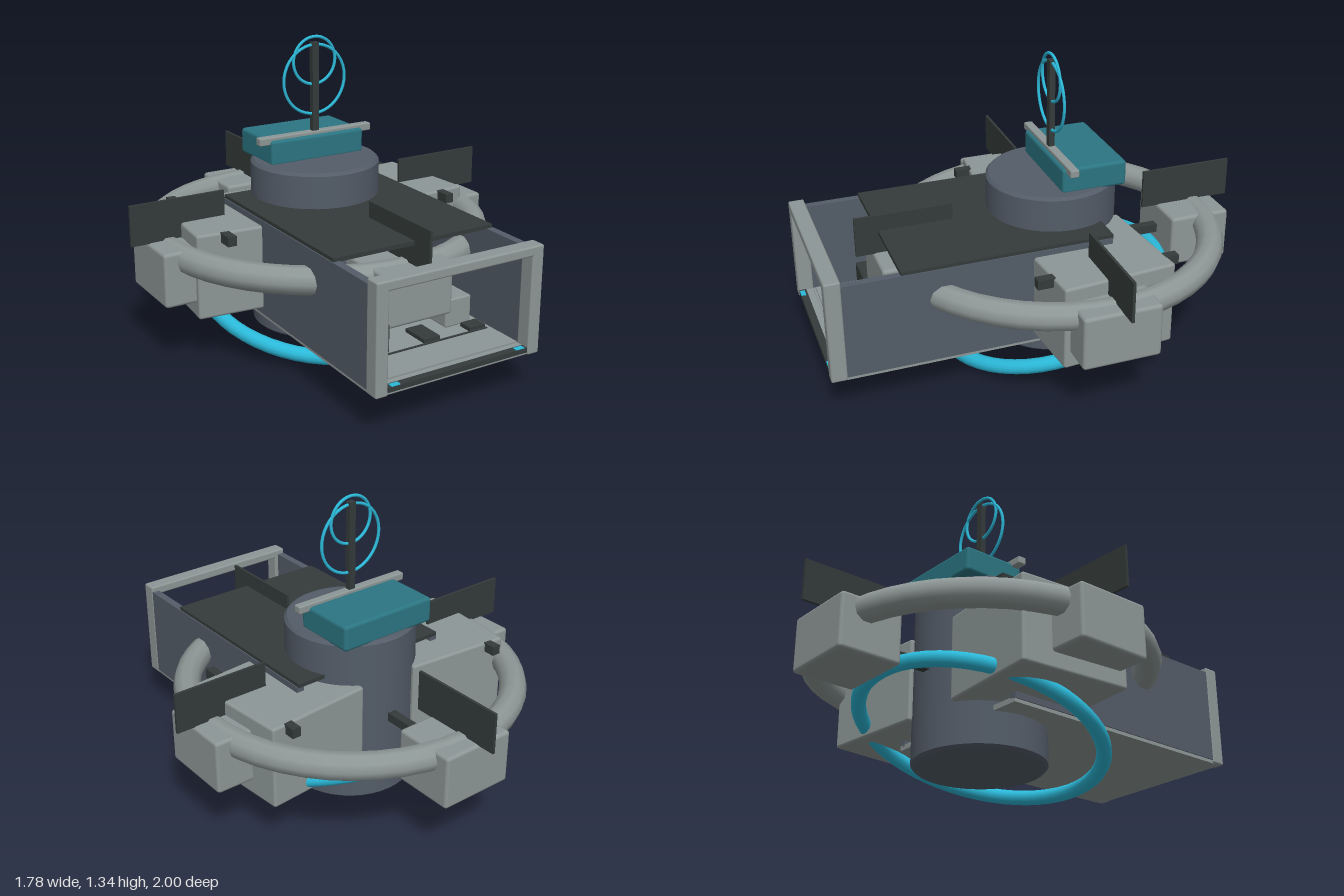
import * as THREE from 'three';
import { toCreasedNormals } from 'three/addons/utils/BufferGeometryUtils.js';
import { RoundedBoxGeometry } from 'three/addons/geometries/RoundedBoxGeometry.js';

const mat = (name, color) => {
  const m = new THREE.MeshStandardMaterial({ color });
  m.name = name;
  return m;
};

export function createModel() {
  const hull = mat('hull grey', 0x8d9796);
  const slate = mat('slate', 0x535c68);
  const dark = mat('charcoal', 0x343b3a);
  const teal = mat('teal', 0x2b7582);
  const cyan = mat('bright cyan', 0x2bb9d9);

  const model = new THREE.Group();
  model.name = 'station';
  const Z = -0.105; // axis of the core

  const add = (name, geo, material, x = 0, y = 0, z = 0) => {
    const mesh = new THREE.Mesh(geo, material);
    mesh.name = name;
    mesh.position.set(x, y, z);
    model.add(mesh);
    return mesh;
  };
  // Box given by its extents on each axis, with optional rounded edges
  const box = (name, material, [x0, x1], [y0, y1], [z0, z1], r = 0) => {
    const s = [x1 - x0, y1 - y0, z1 - z0];
    const geo = r ? new RoundedBoxGeometry(...s, 2, r) : new THREE.BoxGeometry(...s);
    return add(name, geo, material, (x0 + x1) / 2, (y0 + y1) / 2, (z0 + z1) / 2);
  };

  // Core drum with chamfered rims
  const profile = [[0, 0.033], [0.275, 0.033], [0.288, 0.045], [0.288, 0.787], [0.275, 0.8], [0, 0.8]]
    .map(([r, y]) => new THREE.Vector2(r, y));
  add('coreDrum', toCreasedNormals(new THREE.LatheGeometry(profile, 40), 0.6), slate, 0, 0, Z);

  // Command block, crossbar, mast and antenna loops
  box('commandBlock', teal, [-0.235, 0.235], [0.79, 0.905], [-0.365, -0.07], 0.015);
  box('crossbar', hull, [-0.285, 0.285], [0.885, 0.92], [-0.125, -0.085], 0.006);
  box('mast', dark, [-0.016, 0.016], [0.9, 1.315], [Z - 0.013, Z + 0.013]);
  for (const [r, y] of [[0.154, 1.15], [0.105, 1.234]]) {
    add('antennaLoop', new THREE.TorusGeometry(r, 0.007, 8, 40), cyan, 0, y, Z);
  }

  // Main ring and tilted lower ring
  add('mainRing', new THREE.TorusGeometry(0.72, 0.06, 10, 48), hull, 0, 0.49, Z).rotation.x = Math.PI / 2;
  add('tiltedRing', new THREE.TorusGeometry(0.53, 0.033, 12, 56), cyan, 0, 0.19, Z).rotation.x = Math.PI / 2 + 0.29;

  // Four pods on the main ring, each with a thin fin
  for (let i = 0; i < 4; i++) {
    const a = i * Math.PI / 2, s = Math.sin(a), c = Math.cos(a);
    const pod = add('ringPod', new RoundedBoxGeometry(0.345, 0.24, 0.285, 2, 0.015), hull,
      0.675 * s, 0.418, Z + 0.675 * c);
    pod.rotation.y = a;
    const fin = add('fin', new THREE.BoxGeometry(0.012, 0.18, 0.435), dark,
      0.675 * s, 0.625, Z + 0.675 * c);
    fin.rotation.y = a;
  }
  box('rearStrut', dark, [-0.02, 0.02], [0.4, 0.44], [-0.66, -0.36]);

  // Side modules with rods running through them
  for (const side of [-1, 1]) {
    const module = add('sideModule', new RoundedBoxGeometry(0.5, 0.375, 0.51, 2, 0.012), hull,
      side * 0.41, 0.415, -0.14);
    module.rotation.y = side * 0.085;
    box('sideRod', dark, [side * 0.555 - 0.02, side * 0.555 + 0.02], [0.56, 0.602], [-0.46, 0.17]);
  }

  // Hangar bay
  box('hangarFloor', hull, [-0.385, 0.385], [0.185, 0.208], [-0.24, 0.95]);
  box('hangarRoof', dark, [-0.385, 0.385], [0.625, 0.643], [-0.245, 0.685]);
  for (const side of [-1, 1]) {
    box('hangarWall', slate, [side * 0.3725 - 0.0175, side * 0.3725 + 0.0175], [0.2, 0.628], [-0.24, 0.95]);
    box('framePost', hull, [side * 0.365 - 0.028, side * 0.365 + 0.028], [0.187, 0.652], [0.93, 1], 0.008);
    box('floorLight', cyan, [side * 0.3 - 0.02, side * 0.3 + 0.02], [0.221, 0.225], [0.975, 0.997]);
  }
  box('frameLintel', hull, [-0.39, 0.39], [0.61, 0.652], [0.93, 1], 0.008);
  box('frameSill', hull, [-0.39, 0.39], [0.187, 0.218], [0.93, 0.992], 0.006);
  box('sillStrip', dark, [-0.335, 0.335], [0.2, 0.221], [0.965, 0.997]);

  // Deck plates and cargo
  box('deckPlate', hull, [-0.345, 0.345], [0.208, 0.216], [0.81, 0.92]);
  box('deckSeam', dark, [-0.335, 0.335], [0.208, 0.212], [0.735, 0.745]);
  box('darkCrate', dark, [-0.305, -0.15], [0.21, 0.335], [0.58, 0.735], 0.01);
  box('lightCrate', hull, [0.18, 0.31], [0.21, 0.335], [0.52, 0.66], 0.008);
  box('cargoSlab', dark, [0.02, 0.1], [0.208, 0.225], [0.6, 0.73]);
  box('cargoSlab', dark, [0.25, 0.33], [0.208, 0.225], [0.67, 0.735]);
  box('deckLight', cyan, [-0.25, -0.19], [0.208, 0.213], [0.76, 0.77]);

  return model;
}
